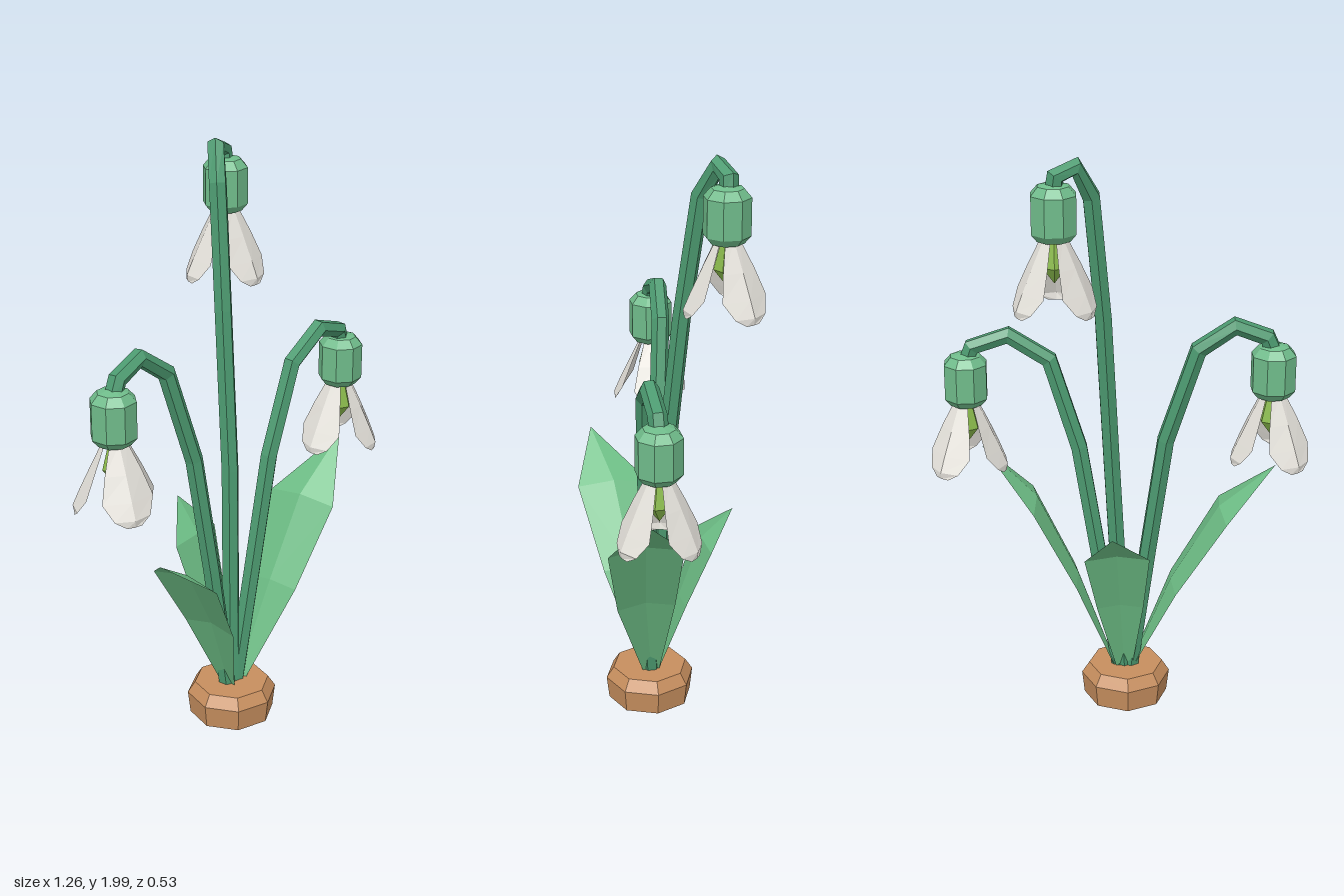
import * as THREE from 'three';

const V = (x, y, z) => new THREE.Vector3(x, y, z);

function material(name, color, doubleSided = false) {
  const m = new THREE.MeshStandardMaterial({ color, flatShading: true });
  m.name = name;
  if (doubleSided) m.side = THREE.DoubleSide;
  return m;
}

function mesh(name, geometry, mat) {
  const m = new THREE.Mesh(geometry, mat);
  m.name = name;
  return m;
}

// Faceted sheet joining rows of [left, middle, right] points
function sheet(rows) {
  const pos = [];
  const tri = (...pts) => pts.forEach((p) => pos.push(p.x, p.y, p.z));
  for (let i = 0; i < rows.length - 1; i++) {
    for (let j = 0; j < 2; j++) {
      const a = rows[i][j], b = rows[i][j + 1], c = rows[i + 1][j], d = rows[i + 1][j + 1];
      tri(a, b, d);
      if (c.distanceTo(d) > 1e-5) tri(a, d, c);
    }
  }
  const g = new THREE.BufferGeometry();
  g.setAttribute('position', new THREE.Float32BufferAttribute(pos, 3));
  g.computeVertexNormals();
  return g;
}

// Solid of revolution with flat sides, profile from bottom to top
function turned(profile, sides, phase = 0) {
  return new THREE.LatheGeometry(profile.map(([r, y]) => new THREE.Vector2(r, y)), sides, phase);
}

// Tube whose rings sit exactly on the given points
function stemTube(points) {
  const curve = new THREE.CatmullRomCurve3(points.map((p) => V(...p)));
  curve.getPointAt = (u, target) => curve.getPoint(u, target);
  curve.getTangentAt = (u, target) => curve.getTangent(u, target);
  return new THREE.TubeGeometry(curve, points.length - 1, 0.031, 6);
}

// Spoon-shaped petal leaning out along +x; rows are [radius, y, half width, cupping]
function petalGeometry() {
  const rows = [
    [0.035, 0.01, 0.03, 0.008], [0.078, -0.08, 0.064, 0.02], [0.115, -0.16, 0.088, 0.03],
    [0.137, -0.212, 0.062, 0.02], [0.133, -0.235, 0.026, 0.004],
  ];
  return sheet(rows.map(([r, y, w, c]) => [V(r - c, y, -w), V(r, y, 0), V(r - c, y, w)]));
}

// Leaf from centre points [x, y, z, half width], spread sideways, edges drooping
function leafGeometry(rows, side, droop) {
  return sheet(rows.map(([x, y, z, w]) => {
    const mid = V(x, y, z);
    const fold = droop.clone().multiplyScalar(w);
    return [-1, 1].map((s) => mid.clone().addScaledVector(side, s * w).add(fold))
      .toSpliced(1, 0, mid);
  }));
}

export function createModel() {
  const group = new THREE.Group();
  group.name = 'snowdropPlant';

  const bulbMat = material('bulb brown', 0xc68e5e);
  const stemMat = material('stem green', 0x4c9a70);
  const capMat = material('cap green', 0x6fbb8a);
  const leafMat = material('leaf green', 0x6cbc84, true);
  const petalMat = material('petal white', 0xeeebe4, true);
  const heartMat = material('heart green', 0x8aba4c);

  // Octagonal base
  const base = mesh('base', turned([[0, 0], [0.147, 0], [0.156, 0.08], [0.13, 0.12], [0, 0.12]], 8), bulbMat);
  base.position.set(-0.03, 0, 0.06);
  group.add(base);

  // Stems
  const stems = {
    tallStem: [[-0.025, 0.1, 0.055], [0.02, 0.9, 0.015], [0.05, 1.45, -0.035], [0.088, 1.86, -0.085],
      [0.138, 1.965, -0.13], [0.2, 1.94, -0.148], [0.205, 1.89, -0.145]],
    rightStem: [[-0.045, 0.1, 0.055], [-0.105, 0.58, 0.03], [-0.16, 1.0, 0.0], [-0.262, 1.33, -0.03],
      [-0.38, 1.415, -0.045], [-0.485, 1.375, -0.045], [-0.508, 1.32, -0.045]],
    leftStem: [[-0.01, 0.1, 0.06], [0.06, 0.52, 0.08], [0.128, 0.94, 0.1], [0.225, 1.25, 0.122],
      [0.362, 1.335, 0.135], [0.485, 1.295, 0.135], [0.507, 1.23, 0.135]],
  };
  for (const [name, pts] of Object.entries(stems)) group.add(mesh(name, stemTube(pts), stemMat));

  // Hanging flowers: cap, heart and three petals
  const capGeo = turned([[0, 0], [0.056, 0], [0.076, 0.024], [0.076, 0.145], [0.052, 0.172], [0, 0.186]], 8, Math.PI / 8);
  const heartGeo = turned([[0, -0.14], [0.042, -0.085], [0.02, 0], [0, 0]], 6);
  const petalGeo = petalGeometry();
  const flowers = [
    ['tallFlower', 0.207, 1.738, -0.142, 93],
    ['rightFlower', -0.508, 1.17, -0.045, 114],
    ['leftFlower', 0.507, 1.093, 0.135, 72],
  ];
  for (const [name, x, y, z, degrees] of flowers) {
    const flower = new THREE.Group();
    flower.name = name;
    flower.add(mesh('cap', capGeo, capMat), mesh('heart', heartGeo, heartMat));
    for (let i = 0; i < 3; i++) {
      const petal = mesh('petal', petalGeo, petalMat);
      petal.rotation.y = -THREE.MathUtils.degToRad(degrees + i * 120);
      flower.add(petal);
    }
    flower.position.set(x, y, z);
    group.add(flower);
  }

  // Leaves
  group.add(
    mesh('rightLeaf', leafGeometry([[-0.045, 0.1, 0.06, 0.025], [-0.19, 0.43, 0.09, 0.1],
      [-0.36, 0.695, 0.122, 0.128], [-0.56, 0.825, 0.17, 0]], V(0, 0, 1), V(-0.1, -0.15, 0)), leafMat),
    mesh('leftLeaf', leafGeometry([[0, 0.1, 0.06, 0.025], [0.135, 0.46, 0.105, 0.1],
      [0.275, 0.745, 0.132, 0.128], [0.46, 0.92, 0.17, 0]], V(0, 0, 1), V(0.1, -0.15, 0)), leafMat),
    mesh('backLeaf', leafGeometry([[-0.025, 0.1, 0.04, 0.025], [-0.005, 0.4, -0.04, 0.08],
      [0.01, 0.625, -0.115, 0.11], [0.03, 0.735, -0.22, 0]], V(1, 0, 0), V(0, -0.1, -0.1)), leafMat),
  );
  return group;
}
